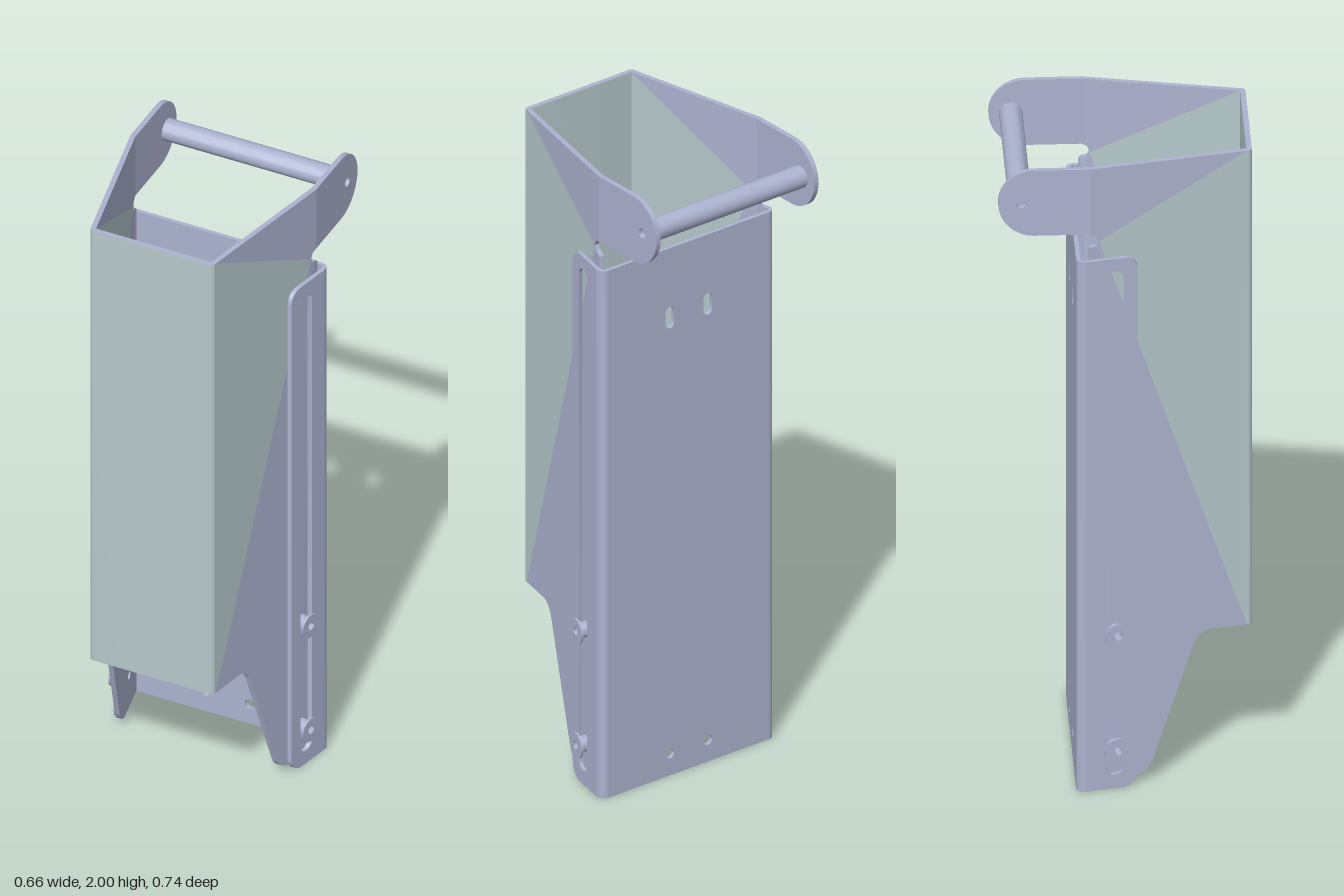
import * as THREE from 'three';
import { toCreasedNormals } from 'three/addons/utils/BufferGeometryUtils.js';

const lavender = new THREE.MeshStandardMaterial({ color: 0xadb3d0 });
lavender.name = 'lavender steel';
const green = new THREE.MeshStandardMaterial({ color: 0xb5c8cb });
green.name = 'pale green';

const T = 0.016; // box sheet thickness
const SLOPE = 0.2165; // how far the sides splay per unit of depth
const BOLT_Z = -0.03;
const BOLT_Y = [0.13, 0.5];

const polygon = (pts) => new THREE.Shape(pts.map(([a, b]) => new THREE.Vector2(a, b)));
const circle = (x, y, r) => new THREE.Path().absarc(x, y, r, 0, Math.PI * 2, true);

// Vertical slot with round ends
function slot(x, y0, y1, r) {
  const p = new THREE.Path();
  p.absarc(x, y1 - r, r, 0, Math.PI, false);
  p.absarc(x, y0 + r, r, Math.PI, Math.PI * 2, false);
  p.closePath();
  return p;
}

const extrude = (shape, depth) =>
  new THREE.ExtrudeGeometry(shape, { depth, bevelEnabled: false, curveSegments: 14 });

// Sheet drawn in (z, y); outerX gives its outer face at each z
function sheet(shape, outerX, thickness) {
  const geo = extrude(shape, 1);
  const p = geo.attributes.position;
  for (let i = 0; i < p.count; i++) {
    const z = p.getX(i), y = p.getY(i), w = p.getZ(i);
    p.setXYZ(i, outerX(z) - w * thickness, y, z);
  }
  return geo;
}

// Plan section drawn in (x, -z), raised from y0 to y1
function upright(shape, y0, y1) {
  return extrude(shape, y1 - y0).rotateX(-Math.PI / 2).translate(0, y0, 0);
}

// Mirror across x, turning the faces round again
function mirrored(source) {
  const geo = source.index ? source.toNonIndexed() : source.clone();
  const p = geo.attributes.position;
  const a = new THREE.Vector3(), b = new THREE.Vector3();
  for (let i = 0; i < p.count; i += 3) {
    a.fromBufferAttribute(p, i + 1);
    b.fromBufferAttribute(p, i + 2);
    p.setXYZ(i + 1, b.x, b.y, b.z);
    p.setXYZ(i + 2, a.x, a.y, a.z);
    p.setX(i, p.getX(i) * -1);
    p.setX(i + 1, -b.x);
    p.setX(i + 2, -a.x);
  }
  return geo;
}

export function createModel() {
  const model = new THREE.Group();
  model.name = 'adjustableBracketBox';

  const add = (name, geo, mat) => {
    geo.computeVertexNormals();
    const mesh = new THREE.Mesh(toCreasedNormals(geo, 0.6), mat);
    mesh.name = name;
    model.add(mesh);
  };
  const addPair = (name, geo, mat) => {
    const other = mirrored(geo);
    add(name + 'Left', geo, mat);
    add(name + 'Right', other, mat);
  };

  const boxX = (z) => Math.min(0.201 + (0.355 - z) * SLOPE, 0.2995);
  const flangeX = (z) => 0.318 - (z + 0.11) * SLOPE;

  // Front panel with its two rounded bends
  const front = new THREE.Shape();
  front.moveTo(-0.201, -0.355);
  front.quadraticCurveTo(-0.2, -0.37, -0.186, -0.37);
  front.lineTo(0.186, -0.37);
  front.quadraticCurveTo(0.2, -0.37, 0.201, -0.355);
  front.lineTo(0.185, -0.354);
  front.lineTo(-0.185, -0.354);
  add('frontPanel', upright(front, 0.47, 2), [lavender, green]);

  // Splayed sides: upper, painted and lower areas
  const apex = [-0.076, 1.765];
  addPair('sideTop', sheet(polygon([
    [0.355, 2], [-0.1, 2], [-0.1, 1.79], [-0.084, 1.784], apex,
  ]), boxX, T), lavender);
  addPair('sidePainted', sheet(polygon([[0.355, 2], apex, [0.355, 0.47]]), boxX, T), green);

  const lower = new THREE.Shape();
  lower.moveTo(0.355, 0.47);
  lower.lineTo(...apex);
  lower.lineTo(-0.084, 1.75);
  lower.quadraticCurveTo(-0.108, 1.75, -0.108, 1.73);
  lower.lineTo(-0.108, 0.02);
  lower.lineTo(0.02, 0.02);
  lower.quadraticCurveTo(0.065, 0.03, 0.08, 0.07);
  lower.lineTo(0.197, 0.42);
  lower.quadraticCurveTo(0.212, 0.47, 0.25, 0.47);
  BOLT_Y.forEach((y) => lower.holes.push(circle(BOLT_Z, y, 0.013)));
  addPair('sideLower', sheet(lower, boxX, T), lavender);

  // Straight ears that carry the handle
  const ear = new THREE.Shape();
  ear.moveTo(-0.1, 1.79);
  ear.lineTo(-0.1, 2);
  ear.lineTo(-0.263, 2);
  ear.absarc(-0.263, 1.895, 0.105, Math.PI / 2, Math.PI * 1.5, false);
  ear.holes.push(circle(-0.302, 1.895, 0.015));
  addPair('handleEar', sheet(ear, () => 0.2995, T), lavender);

  // Handle rod
  add('handleRod', new THREE.CylinderGeometry(0.034, 0.034, 0.566, 24)
    .rotateZ(Math.PI / 2).translate(0, 1.895, -0.304), lavender);

  // Back plate with mounting holes
  const back = polygon([[-0.295, 0], [0.295, 0], [0.295, 1.71], [-0.295, 1.71]]);
  for (const x of [-0.07, 0.07]) {
    back.holes.push(circle(x, 0.07, 0.016), slot(x, 1.45, 1.52, 0.016));
  }
  add('backPlate', extrude(back, 0.012).translate(0, 0, -0.143), lavender);

  // Rounded bends between back plate and flanges
  const bend = new THREE.Shape();
  bend.moveTo(0.295, 0.143);
  bend.bezierCurveTo(0.312, 0.143, 0.323, 0.13, 0.318, 0.11);
  bend.lineTo(0.305, 0.11);
  bend.quadraticCurveTo(0.31, 0.131, 0.295, 0.131);
  addPair('backBend', upright(bend, 0, 1.71), lavender);

  // Slotted flanges
  const flange = new THREE.Shape();
  flange.moveTo(-0.11, 0);
  flange.lineTo(0, 0);
  flange.quadraticCurveTo(0.035, 0.015, 0.035, 0.05);
  flange.lineTo(0.035, 1.665);
  flange.quadraticCurveTo(0.035, 1.71, -0.01, 1.71);
  flange.lineTo(-0.11, 1.71);
  flange.holes.push(slot(BOLT_Z, 0.045, 1.67, 0.026));
  addPair('slottedFlange', sheet(flange, flangeX, 0.013), lavender);

  // Hollow guide bolts riding in the slots
  const profile = [
    [0.013, 0], [0.024, 0], [0.024, 0.032], [0.039, 0.032],
    [0.039, 0.038], [0.013, 0.038], [0.013, 0],
  ].map(([r, y]) => new THREE.Vector2(r, y));
  for (const y of BOLT_Y) {
    const bolt = new THREE.LatheGeometry(profile, 24)
      .rotateZ(-Math.PI / 2)
      .rotateY(-Math.atan(SLOPE))
      .translate(boxX(BOLT_Z), y, BOLT_Z);
    addPair(y < 0.3 ? 'lowerBolt' : 'upperBolt', bolt, lavender);
  }

  return model;
}
